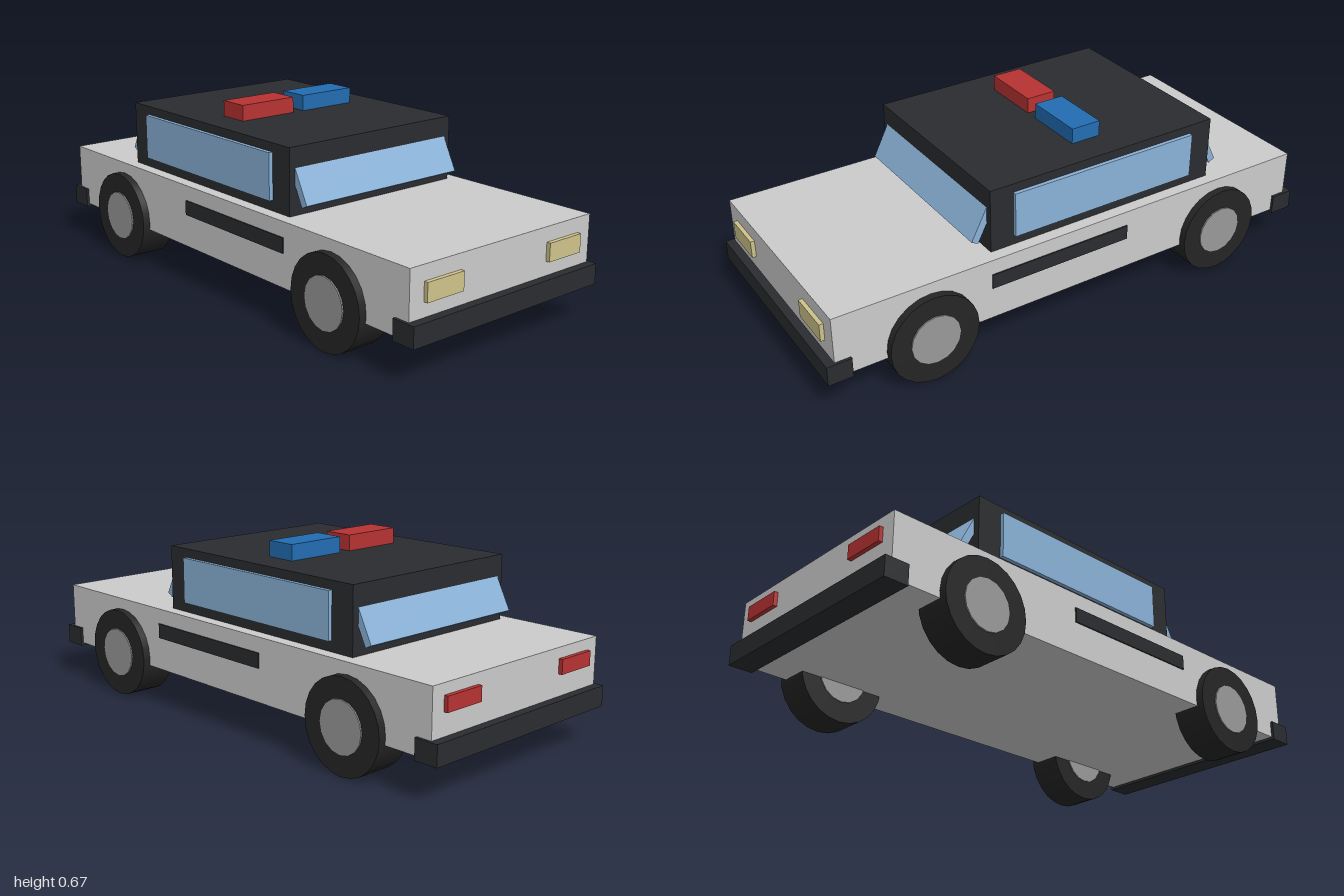
import * as THREE from 'three';

const mat = (color) => new THREE.MeshStandardMaterial({ color });

export function createModel() {
  const car = new THREE.Group();
  car.name = 'patrolCar';

  const paint = mat(0xcccccc);
  const black = mat(0x2a2c2f);
  const glass = mat(0x8ab2d8);
  const red = mat(0xb83232);
  const blue = mat(0x226db3);
  const lamp = mat(0xcfc38a);
  const rubber = mat(0x252525);
  const hubGrey = mat(0x999999);

  // Box given by its extents along each axis
  function box(name, material, [x0, x1], [y0, y1], [z0, z1]) {
    const mesh = new THREE.Mesh(new THREE.BoxGeometry(x1 - x0, y1 - y0, z1 - z0), material);
    mesh.position.set((x0 + x1) / 2, (y0 + y1) / 2, (z0 + z1) / 2);
    mesh.name = name;
    car.add(mesh);
    return mesh;
  }

  // Extents mirrored to the given side
  const flip = (s, a, b) => (s > 0 ? [a, b] : [-b, -a]);

  // Body and cabin
  box('body', paint, [-0.423, 0.423], [0.143, 0.377], [-0.968, 0.968]);
  box('cabin', black, [-0.377, 0.377], [0.37, 0.615], [-0.592, 0.353]);

  // Slanted front and rear glass, lower edge standing off the cabin
  for (const [name, z, s] of [['windshield', 0.36, 1], ['rearWindow', -0.597, -1]]) {
    const pane = new THREE.Mesh(new THREE.BoxGeometry(0.706, 0.18, 0.028), glass);
    pane.position.set(0, 0.497, z);
    pane.rotation.x = -0.47 * s;
    pane.name = name;
    car.add(pane);
  }

  // Bumpers
  for (const s of [1, -1]) {
    box(s > 0 ? 'frontBumper' : 'rearBumper', black,
      [-0.433, 0.433], [0.132, 0.206], flip(s, 0.91, 1));
  }

  // Parts that repeat on both sides
  for (const s of [1, -1]) {
    const side = s > 0 ? 'left' : 'right';
    box(side + 'SideWindow', glass, flip(s, 0.36, 0.392), [0.415, 0.583], [-0.496, 0.263]);
    box(side + 'DoorStripe', black, flip(s, 0.41, 0.428), [0.266, 0.321], [-0.19, 0.377]);
    box(side + 'Headlight', lamp, flip(s, 0.203, 0.362), [0.257, 0.323], [0.95, 0.983]);
    box(side + 'TailLight', red, flip(s, 0.21, 0.37), [0.285, 0.338], [-0.983, -0.95]);
    box(side + 'RoofLight', s > 0 ? blue : red, flip(s, 0.024, 0.257), [0.61, 0.673], [-0.176, -0.06]);

    for (const z of [0.615, -0.615]) {
      const wheel = new THREE.Group();
      wheel.name = side + (z > 0 ? 'FrontWheel' : 'RearWheel');
      const tyre = new THREE.Mesh(new THREE.CylinderGeometry(0.168, 0.168, 0.132, 24), rubber);
      tyre.name = 'tyre';
      const hub = new THREE.Mesh(new THREE.CylinderGeometry(0.094, 0.094, 0.142, 16), hubGrey);
      hub.name = 'hub';
      wheel.add(tyre, hub);
      wheel.rotation.z = Math.PI / 2;
      wheel.position.set(s * 0.385, 0.168, z);
      car.add(wheel);
    }
  }

  return car;
}
